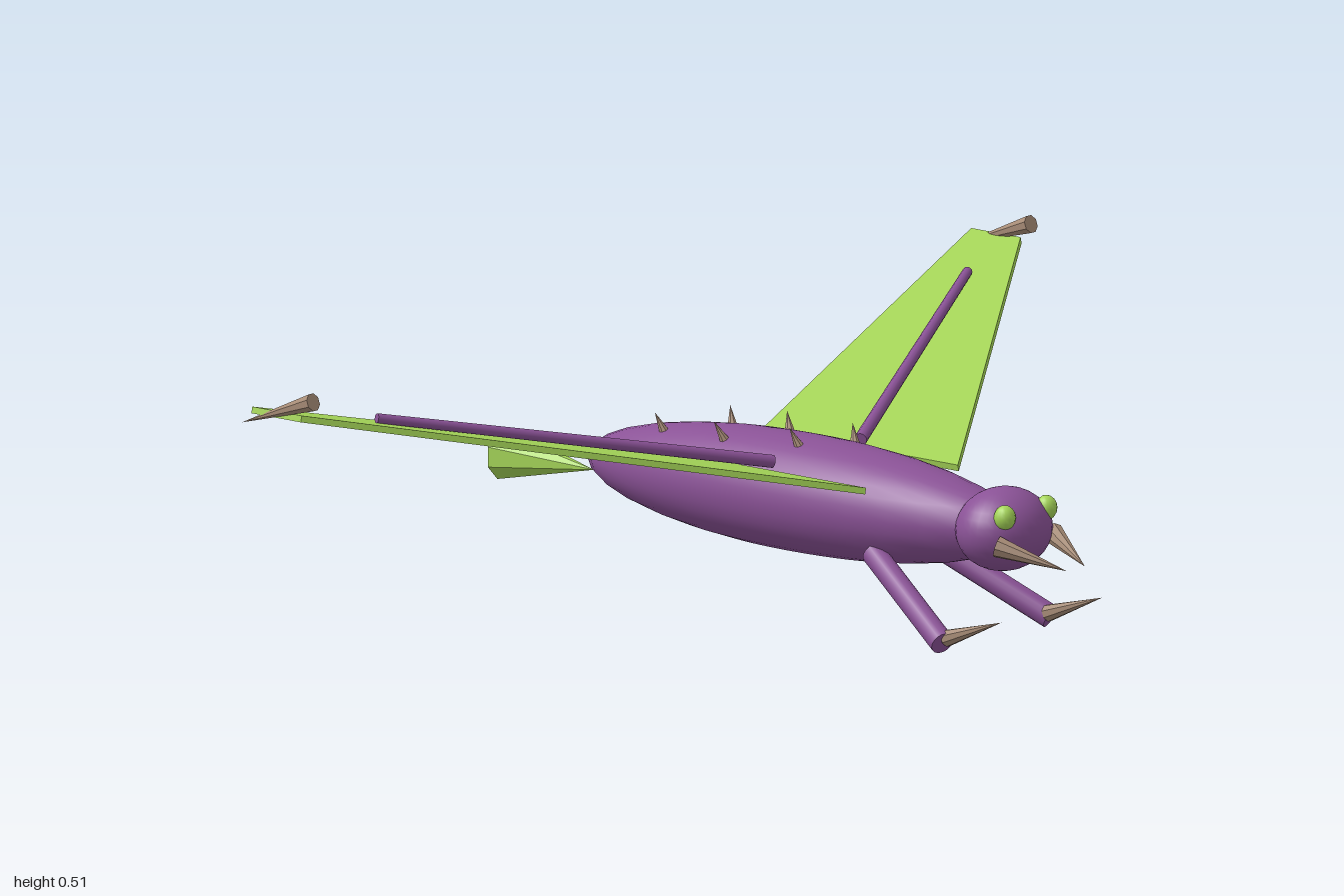
import * as THREE from 'three';

const purple = new THREE.MeshStandardMaterial({ color: 0x8a5296 });
purple.name = 'purple skin';
const green = new THREE.MeshStandardMaterial({ color: 0xa5d558 });
green.name = 'lime green';
const horn = new THREE.MeshStandardMaterial({ color: 0xa68b76 });
horn.name = 'tan horn';

const UP = new THREE.Vector3(0, 1, 0);

function add(group, name, geometry, material) {
  const mesh = new THREE.Mesh(geometry, material);
  mesh.name = name;
  group.add(mesh);
  return mesh;
}

function ellipsoid(group, name, material, center, radii, segments = 32) {
  const mesh = add(group, name, new THREE.SphereGeometry(1, segments, segments / 2), material);
  mesh.position.set(...center);
  mesh.scale.set(...radii);
  return mesh;
}

// Tapered rod from one point to another; an end radius of 0 makes a spike
function rod(group, name, material, from, to, r0, r1, sides = 12, faceted = false) {
  const a = new THREE.Vector3(...from);
  const b = new THREE.Vector3(...to);
  const dir = b.clone().sub(a);
  let geometry = new THREE.CylinderGeometry(r1, r0, dir.length(), sides);
  if (faceted) {
    geometry = geometry.rotateY(Math.PI / sides).toNonIndexed();
    geometry.computeVertexNormals();
  }
  const mesh = add(group, name, geometry, material);
  mesh.position.copy(a).add(b).multiplyScalar(0.5);
  mesh.quaternion.setFromUnitVectors(UP, dir.normalize());
  return mesh;
}

const spike = (group, name, from, to, r) => rod(group, name, horn, from, to, r, 0, 8, true);

// Swept flat wing rising towards its tip
function wing(group, name, s) {
  const rootZ = 0.127, rootY = 0.268, dz = 0.86, dy = 0.19, thick = 0.012;
  const span = Math.hypot(dz, dy);
  const shape = new THREE.Shape([
    new THREE.Vector2(0.284, 0), new THREE.Vector2(-0.31, span),
    new THREE.Vector2(-0.427, span), new THREE.Vector2(-0.18, 0),
  ]);
  const geometry = new THREE.ExtrudeGeometry(shape, { depth: thick, bevelEnabled: false });
  geometry.translate(0, 0, -thick / 2);
  const mesh = add(group, name, geometry, green);
  mesh.rotation.x = s * Math.atan2(dz, dy);
  mesh.position.set(0, rootY, s * rootZ);
}

export function createModel() {
  const model = new THREE.Group();
  model.name = 'flyingCreature';

  // Body and head
  const bodyC = [0.03, 0.208, 0], bodyR = [0.505, 0.107, 0.12];
  ellipsoid(model, 'body', purple, bodyC, bodyR);
  ellipsoid(model, 'head', purple, [0.502, 0.21, 0], [0.082, 0.076, 0.095]);

  // Tail fan, pointing its tip at the body
  rod(model, 'tail', green, [-0.682, 0.178, 0], [-0.469, 0.178, 0], 0.048, 0, 8, true);

  for (const s of [1, -1]) {
    const side = s > 0 ? 'front' : 'back';

    // Face
    ellipsoid(model, side + 'Eye', green, [0.553, 0.246, s * 0.057], [0.02, 0.023, 0.02], 16);
    spike(model, side + 'Mandible', [0.552, 0.196, s * 0.076], [0.672, 0.16, s * 0.025], 0.02);

    // Leg with its claw
    rod(model, side + 'Leg', purple, [0.258, 0.142, s * 0.075], [0.484, 0.021, s * 0.148], 0.022, 0.022, 16);
    spike(model, side + 'LegClaw', [0.486, 0.029, s * 0.139], [0.615, 0.076, s * 0.138], 0.016);

    // Wing with its bone and tip claw
    wing(model, side + 'Wing', s);
    rod(model, side + 'WingBone', purple, [0.058, 0.289, s * 0.12], [-0.284, 0.434, s * 0.81], 0.012, 0.009);
    spike(model, side + 'WingClaw', [-0.284, 0.492, s * 0.984], [-0.453, 0.431, s * 0.984], 0.017);
  }

  // Small thorns scattered on the back, leaning outward
  const thorns = [[-0.18, -0.045], [-0.04, -0.04], [0.11, -0.045], [-0.27, 0.037], [-0.11, 0.056], [0.055, 0.043]];
  thorns.forEach(([x, z], i) => {
    const u = (x - bodyC[0]) / bodyR[0], w = z / bodyR[2];
    const y = bodyC[1] + bodyR[1] * Math.sqrt(1 - u * u - w * w);
    spike(model, 'thorn' + (i + 1), [x, y - 0.006, z], [x - 0.015, y + 0.03, z * 1.25], 0.01);
  });

  return model;
}
